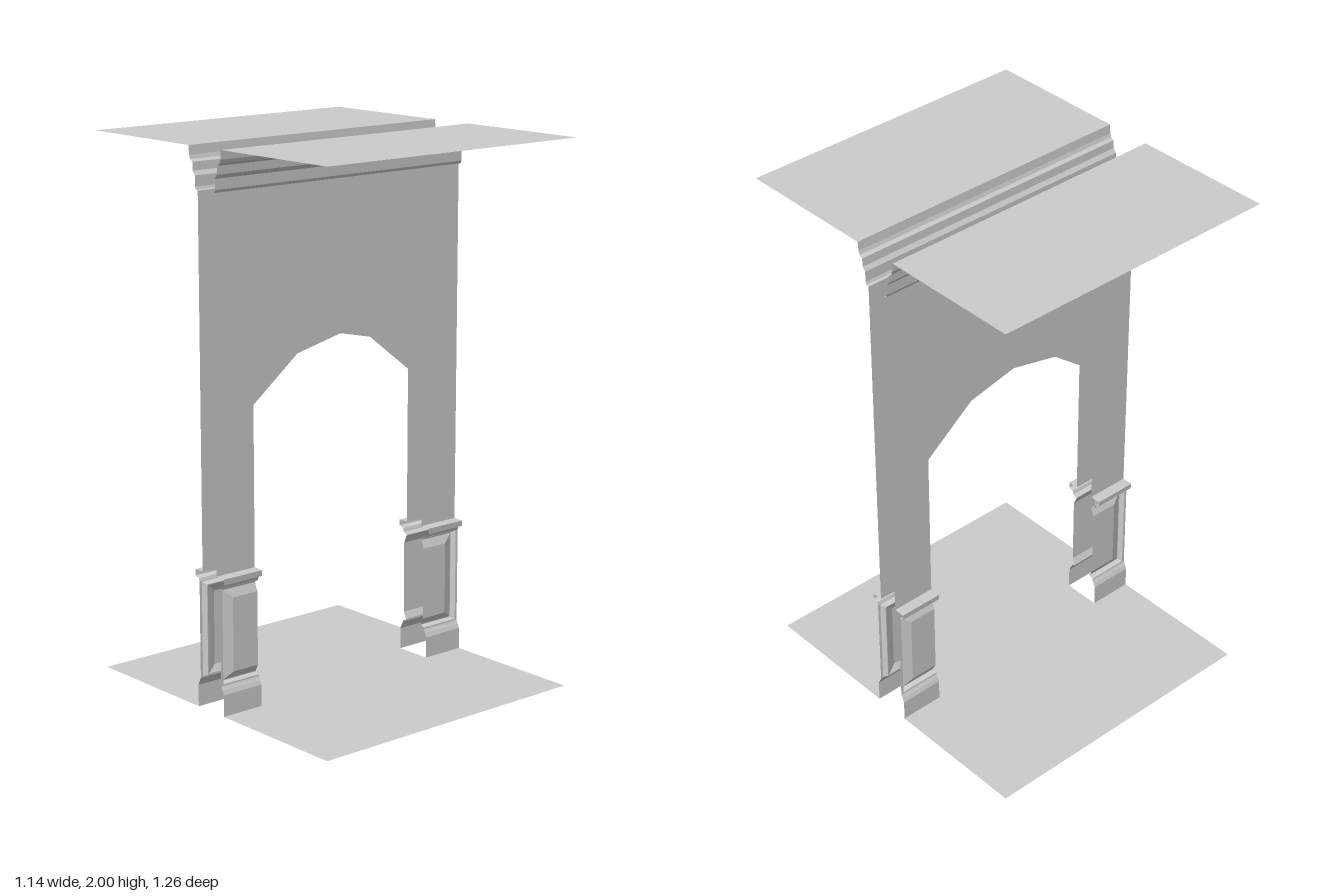
import * as THREE from 'three';

const material = new THREE.MeshStandardMaterial({ color: 0xcccccc, side: THREE.DoubleSide, flatShading: true });
const HALF_W = 0.57, DOOR = 0.4, WALL_Z = 0.04, BASE_Z = 0.072, CORNICE_Z = 0.088, DEPTH = 0.628;

function mesh(geometry, name) {
  const m = new THREE.Mesh(geometry, material);
  m.name = name;
  return m;
}

// Quads given as four corners, anticlockwise seen from outside
function quads(list) {
  const pos = [];
  for (const [a, b, c, d] of list) pos.push(...a, ...b, ...c, ...a, ...c, ...d);
  const g = new THREE.BufferGeometry();
  g.setAttribute('position', new THREE.Float32BufferAttribute(pos, 3));
  g.computeVertexNormals();
  return g;
}

// Moulding profile of [y, z] points, bottom to top, swept along x
function moulding(profile, x0, x1) {
  return quads(profile.slice(1).map(([y1, z1], i) => {
    const [y0, z0] = profile[i];
    return [[x0, y0, z0], [x1, y0, z0], [x1, y1, z1], [x0, y1, z1]];
  }));
}

// Nested frames [outer x, bottom, top, z], all cut off flat at the doorway
function panel(rings) {
  const list = [];
  for (let i = 1; i < rings.length; i++) {
    const [X, B, T, Z] = rings[i - 1], [x, b, t, z] = rings[i];
    list.push(
      [[DOOR, B, Z], [X, B, Z], [x, b, z], [DOOR, b, z]],
      [[X, B, Z], [X, T, Z], [x, t, z], [x, b, z]],
      [[X, T, Z], [DOOR, T, Z], [DOOR, t, z], [x, t, z]]);
  }
  const [x, b, t, z] = rings[rings.length - 1];
  list.push([[DOOR, b, z], [x, b, z], [x, t, z], [DOOR, t, z]]);
  return quads(list);
}

function polygon(points) {
  return new THREE.ShapeGeometry(new THREE.Shape(points.map(([x, y]) => new THREE.Vector2(x, y))));
}

function createPedestal() {
  const g = new THREE.Group();
  g.name = 'pedestal';
  g.add(mesh(moulding([[0, BASE_Z], [0.08, BASE_Z], [0.095, 0.066], [0.105, 0.06], [0.11, 0.058]], DOOR, HALF_W), 'plinth'));
  g.add(mesh(panel([
    [HALF_W, 0.11, 0.467, 0.058], [0.56, 0.115, 0.465, 0.058], [0.55, 0.122, 0.456, 0.041],
    [0.547, 0.125, 0.453, 0.041], [0.51, 0.15, 0.423, 0.054],
  ]), 'raisedPanel'));
  g.add(mesh(moulding([[0.467, 0.058], [0.478, 0.062], [0.485, 0.08], [0.507, 0.082], [0.508, WALL_Z]], DOOR, HALF_W), 'pedestalCap'));
  return g;
}

// One face of the archway with its cornice and ceiling
function createSide() {
  const g = new THREE.Group();
  const wall = mesh(polygon([
    [-HALF_W, 0.508], [-DOOR, 0.508], [-DOOR, 1.095], [-0.2, 1.25], [0, 1.295], [0.2, 1.25],
    [DOOR, 1.095], [DOOR, 0.508], [HALF_W, 0.508], [HALF_W, 1.85], [-HALF_W, 1.85],
  ]), 'archWall');
  wall.position.z = WALL_Z;
  g.add(wall);

  g.add(mesh(moulding([
    [1.85, WALL_Z], [1.852, 0.05], [1.862, 0.054], [1.9, 0.055], [1.915, 0.066],
    [1.945, 0.068], [1.953, 0.08], [1.967, 0.085], [2, CORNICE_Z],
  ], -HALF_W, HALF_W), 'cornice'));

  g.add(mesh(quads([[
    [-HALF_W, 2, CORNICE_Z], [HALF_W, 2, CORNICE_Z], [HALF_W, 2, DEPTH], [-HALF_W, 2, DEPTH],
  ]]), 'ceiling'));

  for (const s of [1, -1]) {
    const pedestal = createPedestal();
    pedestal.scale.x = s;
    g.add(pedestal);
  }
  return g;
}

export function createModel() {
  const model = new THREE.Group();
  model.name = 'archway';

  const front = createSide();
  front.name = 'frontSide';
  const back = createSide();
  back.name = 'backSide';
  back.rotation.y = Math.PI;
  model.add(front, back);

  // Floor running through the doorway, notched around the pedestals
  const floor = mesh(polygon([
    [-HALF_W, -DEPTH], [HALF_W, -DEPTH], [HALF_W, -BASE_Z], [DOOR, -BASE_Z], [DOOR, BASE_Z], [HALF_W, BASE_Z],
    [HALF_W, DEPTH], [-HALF_W, DEPTH], [-HALF_W, BASE_Z], [-DOOR, BASE_Z], [-DOOR, -BASE_Z], [-HALF_W, -BASE_Z],
  ]), 'floor');
  floor.rotation.x = -Math.PI / 2;
  model.add(floor);
  return model;
}
